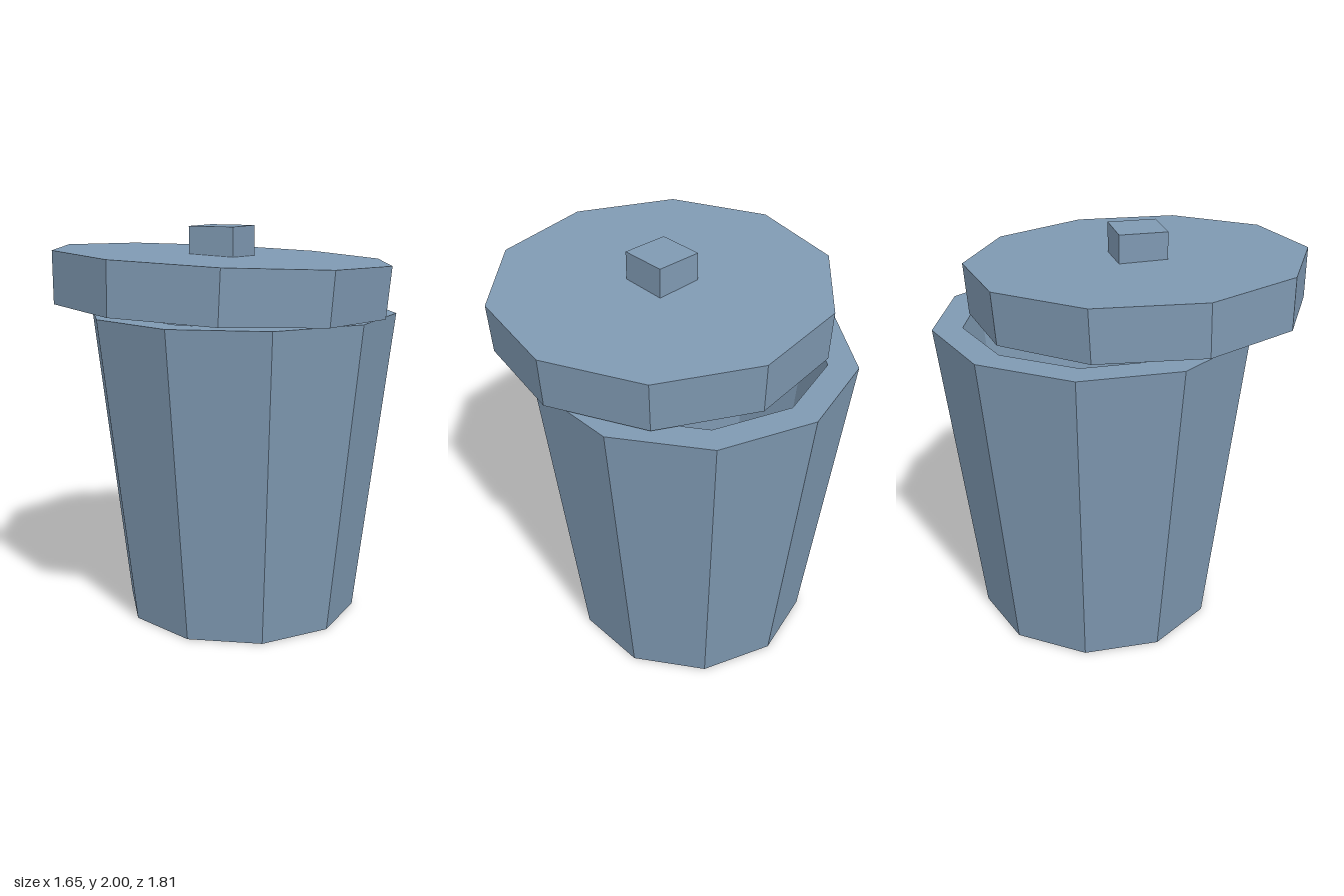
import * as THREE from 'three';

const SIDES = 10;

// Faceted ring-shaped solid turned from a closed profile of [radius, height] points
function faceted(points) {
  const profile = points.map(([r, y]) => new THREE.Vector2(r, y));
  const geometry = new THREE.LatheGeometry(profile, SIDES).toNonIndexed();
  geometry.computeVertexNormals();
  return geometry;
}

export function createModel() {
  const model = new THREE.Group();
  model.name = 'trashCan';

  const metal = new THREE.MeshStandardMaterial({ color: 0x7f99b2 });
  metal.name = 'blueGreyMetal';
  metal.flatShading = true;

  // Hollow tapered bin with a wide flat rim
  const bin = new THREE.Mesh(faceted([
    [0, 0], [0.603, 0], [0.785, 1.565], [0.64, 1.565], [0.49, 0.1], [0, 0.1],
  ]), metal);
  bin.name = 'bin';
  bin.position.set(-0.007, 0, -0.125);
  model.add(bin);

  // Hollow lid, slid forward and resting at a slight tilt
  const lidPivot = new THREE.Group();
  lidPivot.name = 'lidPivot';
  lidPivot.position.set(-0.005, 1.86, 0.083);
  lidPivot.quaternion.setFromUnitVectors(
    new THREE.Vector3(0, 1, 0),
    new THREE.Vector3(0.039, 1, -0.024).normalize(),
  );
  const lid = new THREE.Mesh(faceted([
    [0, -0.1], [0.64, -0.1], [0.65, -0.25], [0.82, -0.25], [0.832, 0], [0, 0],
  ]), metal);
  lid.name = 'lid';
  lid.rotation.y = THREE.MathUtils.degToRad(-10);
  lidPivot.add(lid);
  model.add(lidPivot);

  // Upright square knob sunk into the lid
  const knob = new THREE.Mesh(new THREE.BoxGeometry(0.237, 0.17, 0.237), metal);
  knob.name = 'lidKnob';
  knob.position.set(-0.008, 1.915, 0.088);
  model.add(knob);

  return model;
}
